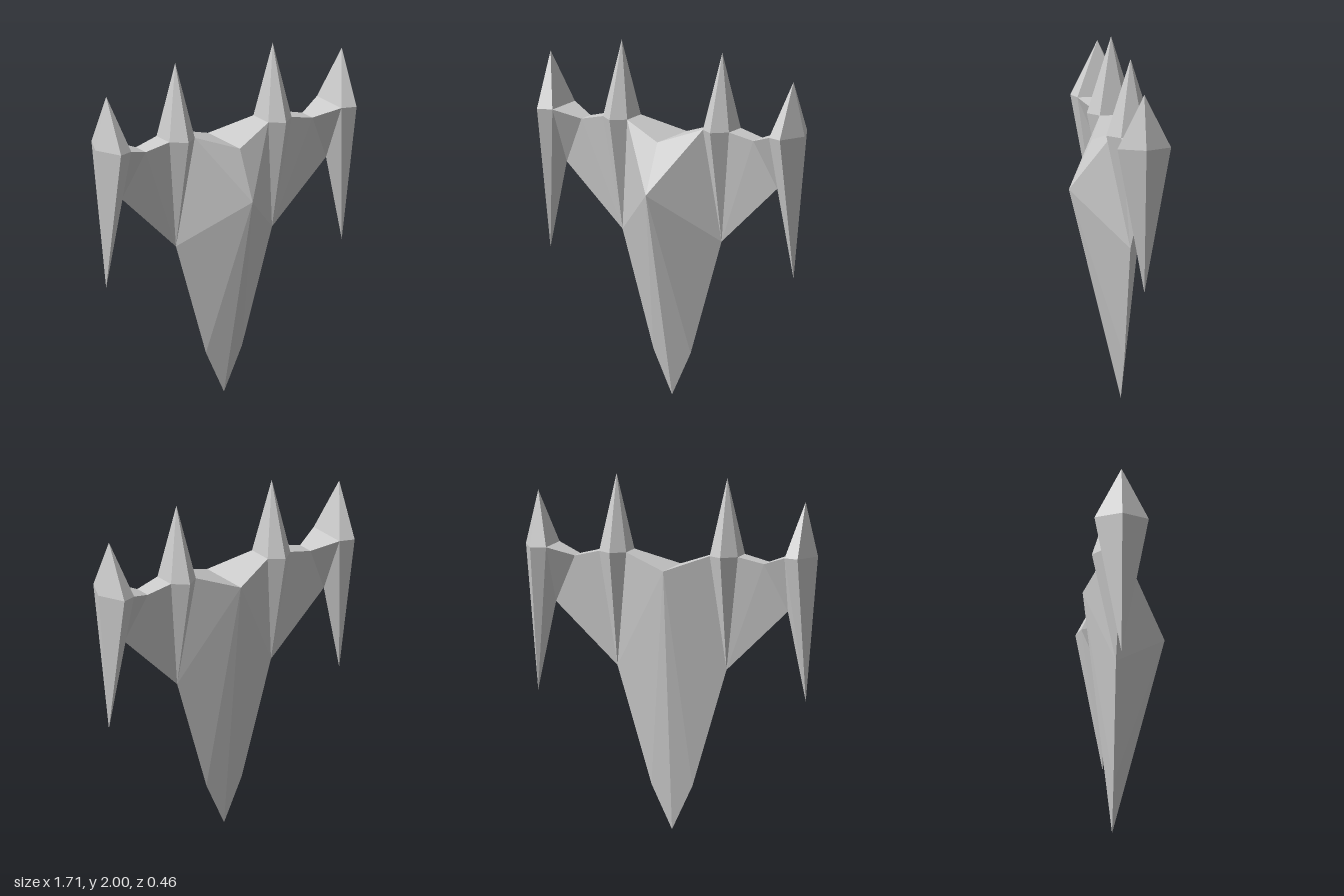
import * as THREE from 'three';

const ZC = -0.065; // depth of the ship's mid plane

// Flat-shaded mesh from triangles and quads, each turned to face away from an inner point.
function facets(name, inner, faces) {
  const core = new THREE.Vector3(...inner);
  const positions = [];
  for (const face of faces) {
    for (let i = 1; i < face.length - 1; i++) {
      const [a, b, c] = [face[0], face[i], face[i + 1]].map(p => new THREE.Vector3(...p));
      const normal = b.clone().sub(a).cross(c.clone().sub(a));
      const outward = normal.dot(a.clone().sub(core)) > 0;
      for (const p of outward ? [a, b, c] : [a, c, b]) positions.push(p.x, p.y, p.z);
    }
  }
  const geometry = new THREE.BufferGeometry();
  geometry.setAttribute('position', new THREE.Float32BufferAttribute(positions, 3));
  geometry.computeVertexNormals();
  const mesh = new THREE.Mesh(geometry,
    new THREE.MeshStandardMaterial({ color: 0xcccccc, flatShading: true }));
  mesh.name = name;
  return mesh;
}

// Triangles from one tip to each step of a chain of points.
const fan = (tip, chain) => chain.slice(1).map((p, i) => [tip, chain[i], p]);

export function createModel() {
  const group = new THREE.Group();
  group.name = 'starfighter';

  for (const s of [1, -1]) {
    const side = s > 0 ? 'left' : 'right';
    const P = (x, y, z = ZC) => [s * x, y, z];

    // Shared corners
    const nose = P(0, 0), cheek = P(0.12, 0.25), root = P(0.32, 0.915);
    const innerFront = P(0.245, 1.565, 0.013), innerBack = P(0.245, 1.565, -0.14);
    const outerFront = P(0.407, 1.565, 0.003), outerBack = P(0.407, 1.565, -0.13);
    const dipFront = P(0.555, 1.53, -0.012), dipBack = P(0.555, 1.53, -0.115);
    const podFront = P(0.7, 1.58, 0.062), podBack = P(0.7, 1.58, -0.19);
    const wingTip = P(0.68, 1.26);

    // Half of the hull: front keel, back ridge and sloping top
    const keel = P(0, 1.2, 0.23), topFront = P(0, 1.48, 0.1), topBack = P(0, 1.48, -0.23);
    group.add(facets(side + 'Hull', [0, 1, ZC], [
      ...fan(keel, [topFront, innerFront, root, cheek, nose]),
      ...fan(topBack, [innerBack, root, cheek, nose]),
      [topFront, innerFront, innerBack, topBack],
    ]));

    // Inner spike: six-sided, its lower half emerging front and back between hull and wing
    const spikeTop = P(0.325, 2);
    const spikeFront = P(0.325, 1.565, 0.073), spikeBack = P(0.325, 1.565, -0.2);
    group.add(facets(side + 'InnerSpike', P(0.325, 1.5), [
      ...fan(spikeTop, [innerFront, spikeFront, outerFront, outerBack, spikeBack, innerBack, innerFront]),
      ...fan(root, [innerFront, spikeFront, outerFront]),
      ...fan(root, [innerBack, spikeBack, outerBack]),
    ]));

    // Wing between the inner spike and the outer spike
    group.add(facets(side + 'Wing', P(0.6, 1.45), [
      [root, outerFront, dipFront], [root, dipFront, wingTip], [dipFront, podFront, wingTip],
      [root, outerBack, dipBack], [root, dipBack, wingTip], [dipBack, podBack, wingTip],
      [outerFront, dipFront, dipBack, outerBack],
      [dipFront, podFront, podBack, dipBack],
    ]));

    // Outer spike: five-sided, with its inner edge running down to the wing tip
    const ring = [podFront, P(0.785, 1.58, 0.088), P(0.857, 1.58), P(0.785, 1.58, -0.217), podBack];
    group.add(facets(side + 'OuterSpike', P(0.77, 1.5), [
      ...fan(P(0.785, 1.885), [...ring, podFront]),
      ...fan(P(0.785, 0.755), [wingTip, ...ring, wingTip]),
    ]));
  }
  return group;
}
